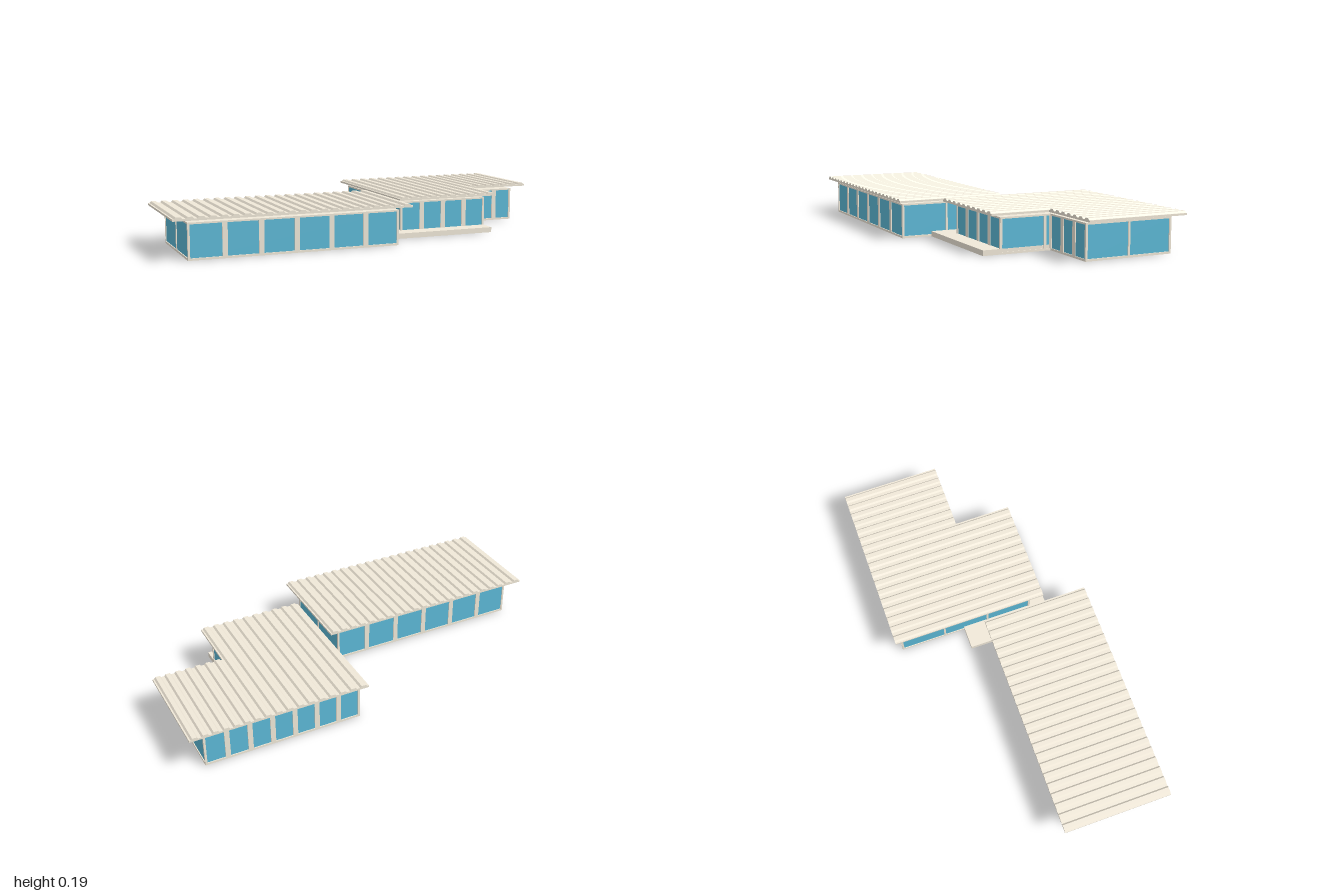
import * as THREE from 'three';

const cream = new THREE.MeshStandardMaterial({ color: 0xf0e8d8 });
const blue = new THREE.MeshStandardMaterial({ color: 0x5cb8d6 });
const H = 0.165, RAIL = 0.01, THICK = 0.01;

function add(parent, name, geometry, material = cream) {
  const mesh = new THREE.Mesh(geometry, material);
  mesh.name = name;
  parent.add(mesh);
  return mesh;
}

const extrude = (shape, depth) =>
  new THREE.ExtrudeGeometry(shape, { depth, bevelEnabled: false });

// Framed window wall between two plan points, outside on the right of travel
function windowWall(parent, [x0, z0], [x1, z1], bays, post) {
  const len = Math.hypot(x1 - x0, z1 - z0);
  const wall = new THREE.Group();
  wall.name = 'windowWall';
  wall.position.set(x0, 0, z0);
  wall.rotation.y = Math.atan2(z0 - z1, x1 - x0);
  parent.add(wall);

  const rect = (path, a, b, c, d) =>
    path.moveTo(a, b).lineTo(c, b).lineTo(c, d).lineTo(a, d).closePath();
  const frame = rect(new THREE.Shape(), 0, 0, len, H);
  const edge = Math.min(0.008, len / 5);
  for (let i = 0; i < bays; i++) {
    const a = i === 0 ? edge : (len * i) / bays + post / 2;
    const b = i === bays - 1 ? len - edge : (len * (i + 1)) / bays - post / 2;
    frame.holes.push(rect(new THREE.Path(), a, RAIL, b, H - 0.008));
  }
  add(wall, 'windowFrame', extrude(frame, THICK).translate(0, 0, -THICK));
  const glass = new THREE.BoxGeometry(len - 0.008, H - 0.008, 0.004);
  add(wall, 'glass', glass, blue).position.set(len / 2, H / 2, -0.006);
}

// One building: floor, ceiling and the window walls round its plan
function building(name, walls) {
  const group = new THREE.Group();
  group.name = name;
  const plan = new THREE.Shape(walls.map(([x, z]) => new THREE.Vector2(x, -z)));
  const slab = extrude(plan, 0.008).rotateX(-Math.PI / 2);
  add(group, 'floor', slab);
  add(group, 'ceiling', slab.clone()).position.y = H - 0.008;
  walls.forEach(([x, z, bays, post], i) => {
    const next = walls[(i + 1) % walls.length];
    windowWall(group, [x, z], [next[0], next[1]], bays, post);
  });
  return group;
}

// Ribbed roof sheet with ribs running front to back
function ribbedRoof(parent, x0, x1, z0, z1) {
  const base = 0.178, low = 0.187, high = 0.195;
  const count = Math.round((x1 - x0) / 0.05), p = (x1 - x0) / count;
  const shape = new THREE.Shape().moveTo(x1, base).lineTo(x1, low);
  for (let i = count - 1; i >= 0; i--) {
    const x = x0 + i * p;
    shape.lineTo(x + p * 0.85, low).lineTo(x + p * 0.7, high);
    shape.lineTo(x + p * 0.3, high).lineTo(x + p * 0.15, low);
  }
  shape.lineTo(x0, low).lineTo(x0, base).closePath();
  add(parent, 'ribbedRoof', extrude(shape, z1 - z0).translate(0, 0, z0));
}

export function createModel() {
  const model = new THREE.Group();
  model.name = 'pavilion';

  // Plan corners: x, z, bays in the wall that starts here, post width
  const longHall = building('longHall', [
    [-0.93, 0.455, 6, 0.024], [0.055, 0.455, 2, 0.01],
    [0.055, -0.005, 6, 0.024], [-0.93, -0.005, 2, 0.01],
  ]);
  ribbedRoof(longHall, -1, 0.11, -0.04, 0.487);

  const cornerHall = building('cornerHall', [
    [0.17, 0.225, 4, 0.024], [0.63, 0.225, 1, 0.01], [0.63, 0, 1, 0.01],
    [0.63, -0.025, 3, 0.024], [0.93, -0.025, 2, 0.01],
    [0.93, -0.46, 7, 0.024], [0.17, -0.46, 3, 0.01],
  ]);
  ribbedRoof(cornerHall, 0.14, 0.66, -0.49, 0.282);
  ribbedRoof(cornerHall, 0.66, 1, -0.49, 0);

  // Low terrace joining the two halls
  const terrace = add(model, 'terrace', new THREE.BoxGeometry(0.57, 0.025, 0.437));
  terrace.position.set(0.342, 0.0125, 0.0885);

  model.add(longHall, cornerHall);
  return model;
}
